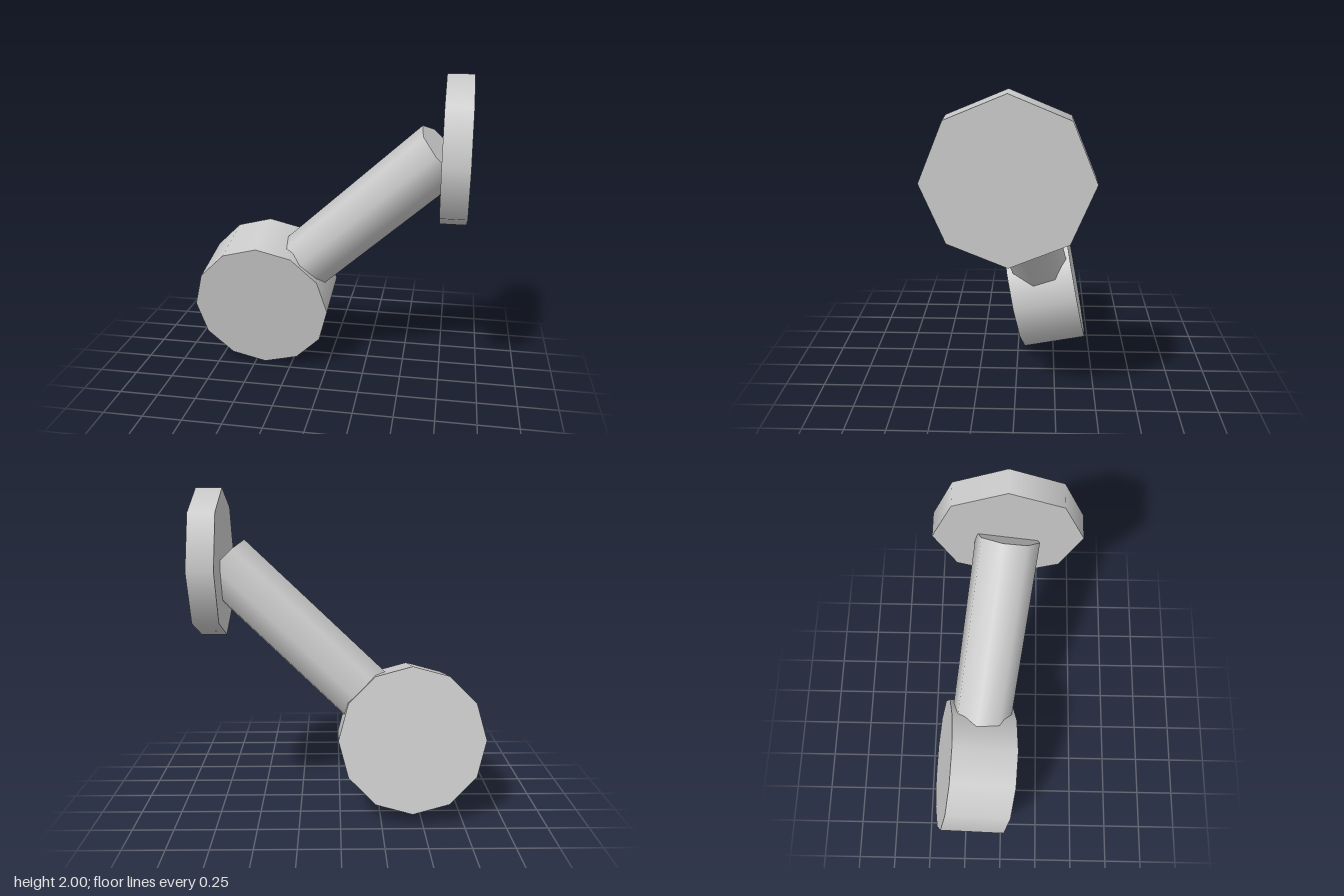
import * as THREE from 'three';

export function createModel() {
  const group = new THREE.Group();
  const grey = new THREE.MeshStandardMaterial({ color: 0xcccccc });
  grey.name = 'light grey';

  // Closed cylinder placed at a centre point
  const cylinder = (name, radius, length, sides, centre) => {
    const mesh = new THREE.Mesh(new THREE.CylinderGeometry(radius, radius, length, sides), grey);
    mesh.name = name;
    mesh.position.copy(centre);
    group.add(mesh);
    return mesh;
  };

  // Thick twelve-sided base drum, leaning back slightly
  const drumCentre = new THREE.Vector3(-0.435, 0.48, -0.183);
  const drum = cylinder('baseDrum', 0.447, 0.423, 12, drumCentre);
  drum.rotation.x = Math.PI / 2 + 0.19;

  // Upright octagonal plate facing sideways
  const plate = cylinder('endPlate', 0.456, 0.16, 8, new THREE.Vector3(0.795, 1.545, 0.02));
  plate.rotation.z = -Math.PI / 2;

  // Eight-sided arm from the drum centre to the inner face of the plate
  const armEnd = new THREE.Vector3(0.715, 1.545, 0.02);
  const along = armEnd.clone().sub(drumCentre);
  const arm = cylinder('arm', 0.196, along.length(), 8, drumCentre.clone().lerp(armEnd, 0.5));
  along.normalize();
  const side = new THREE.Vector3(-along.y, along.x, 0).normalize();
  side.applyAxisAngle(along, THREE.MathUtils.degToRad(-8));
  const across = side.clone().cross(along);
  arm.quaternion.setFromRotationMatrix(new THREE.Matrix4().makeBasis(side, along, across));

  return group;
}
